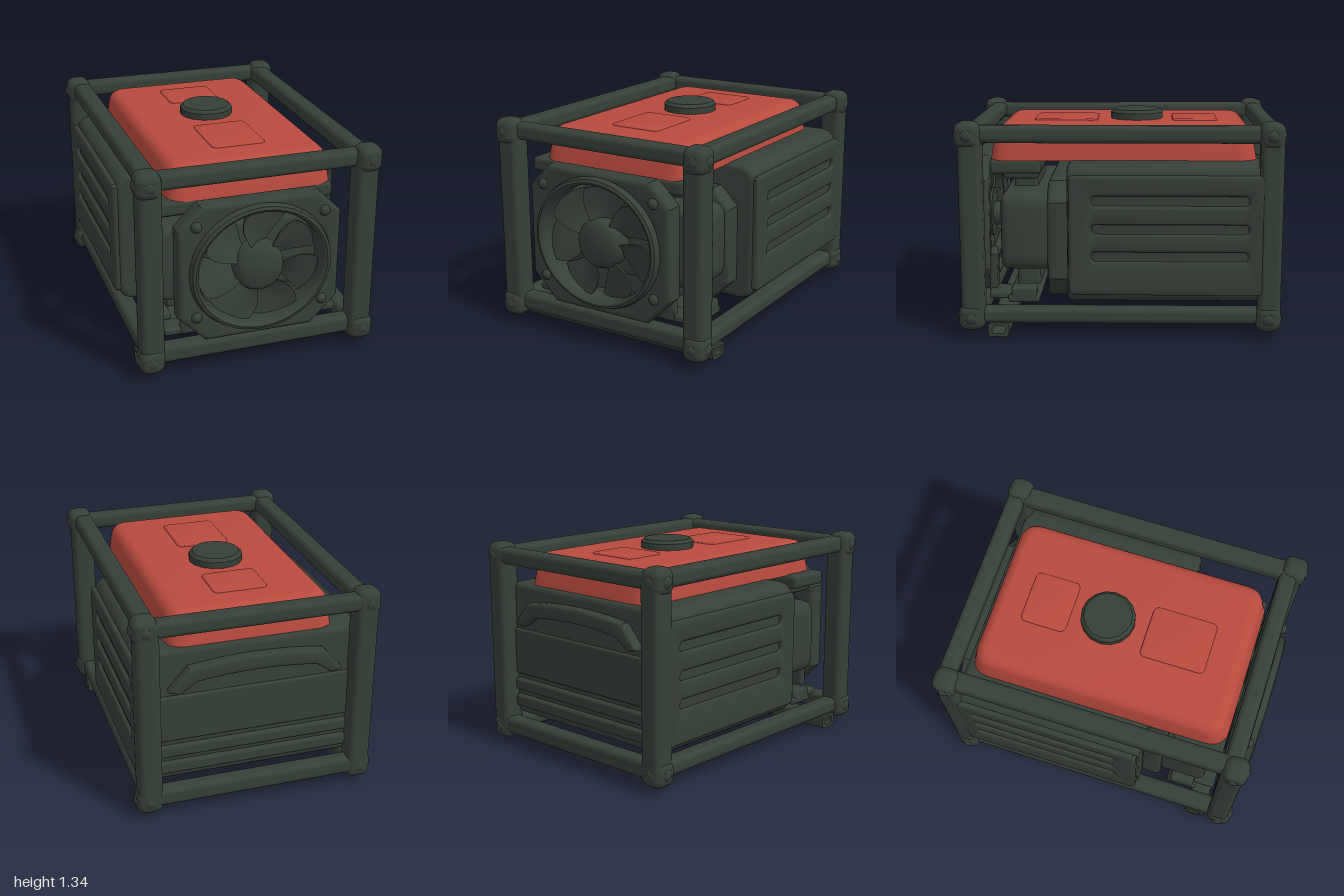
import * as THREE from 'three';
import { toCreasedNormals } from 'three/addons/utils/BufferGeometryUtils.js';
import { RoundedBoxGeometry } from 'three/addons/geometries/RoundedBoxGeometry.js';

const dark = new THREE.MeshStandardMaterial({ color: 0x363f38 });
dark.name = 'dark green metal';
const red = new THREE.MeshStandardMaterial({ color: 0xb84a3e });
red.name = 'red tank paint';

export function createModel() {
  const model = new THREE.Group();
  model.name = 'generator';

  const add = (name, geo, x = 0, y = 0, z = 0, mat = dark, parent = model) => {
    const mesh = new THREE.Mesh(geo, mat);
    mesh.name = name;
    mesh.position.set(x, y, z);
    parent.add(mesh);
    return mesh;
  };
  // Rounded box given by its min and max on each axis
  const block = (name, [x0, x1], [y0, y1], [z0, z1], r = 0.03, parent = model) =>
    add(name, new RoundedBoxGeometry(x1 - x0, y1 - y0, z1 - z0, 3, r),
      (x0 + x1) / 2, (y0 + y1) / 2, (z0 + z1) / 2, dark, parent);
  // Rectangle outline with chamfered or rounded corners
  const outline = (x0, x1, y0, y1, cTop, cBottom = cTop, round = false, target = new THREE.Shape()) => {
    const corner = (px, py, x, y) => (round ? target.quadraticCurveTo(px, py, x, y) : target.lineTo(x, y));
    target.moveTo(x0 + cBottom, y0);
    target.lineTo(x1 - cBottom, y0);
    corner(x1, y0, x1, y0 + cBottom);
    target.lineTo(x1, y1 - cTop);
    corner(x1, y1, x1 - cTop, y1);
    target.lineTo(x0 + cTop, y1);
    corner(x0, y1, x0, y1 - cTop);
    target.lineTo(x0, y0 + cBottom);
    corner(x0, y0, x0 + cBottom, y0);
    return target;
  };
  // Bevelled extrusion from z0 to z1
  const prism = (shape, z0, z1, bevel = 0.02, segments = 3) => {
    const geo = new THREE.ExtrudeGeometry(shape, {
      depth: z1 - z0 - 2 * bevel, bevelEnabled: bevel > 0, bevelThickness: bevel,
      bevelSize: bevel, bevelOffset: -bevel, bevelSegments: segments, curveSegments: 10,
    });
    return geo.translate(0, 0, z0 + bevel);
  };
  const smooth = (geo, angle = 0.6) => toCreasedNormals(geo, angle);

  // Tubular frame: posts, corner joints and rails
  const frame = new THREE.Group();
  frame.name = 'frame';
  model.add(frame);
  const joint = new RoundedBoxGeometry(0.155, 0.165, 0.155, 4, 0.055);
  const knob = new THREE.SphereGeometry(0.05, 16, 12);
  for (const s of [-1, 1]) {
    const sideX = s > 0 ? [0.6, 0.72] : [-0.72, -0.6];
    block('topSideRail', sideX, [1.2, 1.305], [-0.92, 0.9], 0.035, frame);
    block('bottomSideRail', sideX, [0.08, 0.18], [-0.92, 0.9], 0.035, frame);
    for (const f of [-1, 1]) {
      const zc = f > 0 ? 0.9 : -0.915;
      block('post', s > 0 ? [0.597, 0.743] : [-0.743, -0.597], [0.05, 1.31],
        [zc - 0.072, zc + 0.072], 0.04, frame);
      for (const y of [0.122, 1.25]) {
        add('cornerJoint', joint, s * 0.678, y, f * 0.912, dark, frame);
        add('jointBolt', knob, s * 0.72, y, f * 0.91, dark, frame);
        add('jointBolt', knob, s * 0.68, y, f * 0.95, dark, frame);
      }
    }
  }
  for (const [z0, z1] of [[0.83, 0.94], [-0.98, -0.87]]) {
    block('topCrossRail', [-0.67, 0.67], [1.2, 1.305], [z0, z1], 0.035, frame);
    block('bottomCrossRail', [-0.67, 0.67], [0.08, 0.195], [z0, z1], 0.035, frame);
  }

  // Hollow mounting bar under the front
  const bar = outline(-0.81, -0.68, 0, 0.09, 0.025, 0.025, true);
  bar.holes.push(outline(-0.785, -0.705, 0.02, 0.07, 0.015, 0.015, true, new THREE.Path()));
  add('mountingBar', smooth(prism(bar, -0.725, 0.725, 0).rotateY(Math.PI / 2)));

  // Main housing with slotted side panels
  add('housing', smooth(prism(outline(-0.715, 0.715, 0.21, 1.07, 0.11, 0.11, true), -0.88, 0.32, 0.03)));
  const slotPanel = outline(-0.31, 0.88, 0.27, 1.01, 0.02);
  for (const y of [0.51, 0.68, 0.855]) {
    slotPanel.holes.push(outline(-0.17, 0.78, y - 0.03, y + 0.03, 0.029, 0.029, true, new THREE.Path()));
  }
  const panel = smooth(prism(slotPanel, -0.03, 0.03, 0.02).rotateY(Math.PI / 2));
  for (const s of [-1, 1]) add('slottedPanel', panel, s * 0.71);

  // Back cover: arched visor and horizontal ribs
  const visor = new THREE.Shape();
  visor.moveTo(-0.54, 0.83);
  visor.lineTo(-0.42, 0.97);
  visor.quadraticCurveTo(0, 1.03, 0.42, 0.97);
  visor.lineTo(0.54, 0.83);
  visor.lineTo(0.47, 0.81);
  visor.lineTo(0.37, 0.88);
  visor.quadraticCurveTo(0, 0.93, -0.37, 0.88);
  visor.lineTo(-0.47, 0.81);
  add('backVisor', smooth(prism(visor, -0.95, -0.87, 0.02)));
  block('backPanel', [-0.6, 0.6], [0.48, 0.78], [-0.9, -0.86], 0.015);
  for (const y of [0.3, 0.41]) block('backRib', [-0.6, 0.6], [y - 0.04, y + 0.04], [-0.91, -0.86], 0.02);

  // Engine: stepped casing, supports and shaft
  add('engineFlange', smooth(prism(outline(-0.61, 0.61, 0.2, 0.94, 0.12, 0.14), 0.31, 0.45, 0.03)));
  add('engineBlock', smooth(prism(outline(-0.59, 0.59, 0.38, 0.87, 0.1, 0.1, true), 0.42, 0.74, 0.045)));
  block('upperNeck', [-0.3, 0.3], [0.84, 0.99], [0.53, 0.68], 0.03);
  block('lowerNeck', [-0.32, 0.32], [0.18, 0.42], [0.52, 0.67], 0.03);
  block('topPlate', [-0.6, 0.51], [0.98, 1.07], [0.49, 0.81], 0.025);
  block('topPlateRib', [-0.55, 0.46], [0.94, 1.0], [0.51, 0.73], 0.025);
  block('bottomPlate', [-0.6, 0.6], [0.18, 0.23], [0.5, 0.7], 0.02);
  block('engineFoot', [-0.45, 0.45], [0.18, 0.26], [0.24, 0.46], 0.03);
  for (const s of [-1, 1]) {
    add('bracket', smooth(prism(outline(-0.06, 0.06, 0.2, 0.5, 0.04, 0.01), 0.78, 0.83, 0.01)), s * 0.4);
    block('bracketFoot', s > 0 ? [0.36, 0.56] : [-0.56, -0.36], [0.195, 0.24], [0.68, 0.82], 0.015);
    block('footBlock', s > 0 ? [0.48, 0.6] : [-0.6, -0.48], [0.2, 0.28], [0.52, 0.68], 0.02);
    add('footBolt', new THREE.CylinderGeometry(0.035, 0.035, 0.04, 12), s * 0.35, 0.19, 0.37);
  }
  add('shaft', new THREE.CylinderGeometry(0.08, 0.08, 0.22, 20).rotateX(Math.PI / 2), 0, 0.63, 0.82);

  // Fan shroud with an oval opening and a raised collar
  const shroud = outline(-0.51, 0.51, 0.2, 1.08, 0.14, 0.17);
  const opening = new THREE.Path();
  opening.absellipse(0, 0.65, 0.41, 0.375, 0, Math.PI * 2, true);
  shroud.holes.push(opening);
  const shroudGeo = new THREE.ExtrudeGeometry(shroud, {
    depth: 0.07, bevelThickness: 0.03, bevelSize: 0.03, bevelOffset: -0.03, bevelSegments: 4, curveSegments: 40,
  });
  add('fanShroud', smooth(shroudGeo), 0, 0, 0.85);
  const collar = [[0.39, 0.84], [0.445, 0.84], [0.445, 0.965], [0.435, 0.99], [0.415, 0.998], [0.398, 0.985], [0.39, 0.95], [0.39, 0.84]];
  add('fanCollar', smooth(new THREE.LatheGeometry(collar.map((q) => new THREE.Vector2(...q)), 56)
    .rotateX(Math.PI / 2).scale(1, 0.92, 1), 0.8), 0, 0.65, 0);
  for (const x of [-0.4, 0.4]) {
    for (const y of [0.37, 0.96]) add('shroudBolt', new THREE.SphereGeometry(0.035, 12, 8), x, y, 0.945);
  }

  // Fan: hub and seven pitched blades that widen outwards
  const fan = new THREE.Group();
  fan.name = 'fan';
  fan.position.set(0, 0.64, 0.9);
  model.add(fan);
  const hub = [[0, -0.05], [0.16, -0.05], [0.157, 0.02], [0.14, 0.055], [0.11, 0.07], [0, 0.075]];
  add('fanHub', smooth(new THREE.LatheGeometry(hub.map((q) => new THREE.Vector2(...q)), 36)
    .rotateX(Math.PI / 2), 0.7), 0, 0, 0, dark, fan);
  const blade = new THREE.BoxGeometry(1, 1, 0.015, 8, 6, 1);
  const p = blade.attributes.position;
  for (let i = 0; i < p.count; i++) {
    const t = p.getX(i) + 0.5, v = p.getY(i);
    const half = 0.3 + 0.12 * Math.sin(Math.PI * t * 0.75);
    const r = 0.12 + 0.265 * t * (1 - 0.25 * v * v);
    const a = v * 2 * half - 0.15 * t * t;
    p.setXYZ(i, r * Math.cos(a), r * Math.sin(a), p.getZ(i) + v * 0.07);
  }
  blade.computeVertexNormals();
  const blades = new THREE.Group();
  blades.name = 'fanBlades';
  blades.scale.y = 0.93;
  fan.add(blades);
  for (let k = 0; k < 7; k++) {
    add('fanBlade', blade, 0, 0, 0, dark, blades).rotation.z = 1.6 + (k * Math.PI * 2) / 7;
  }

  // Fuel tank: tapering rounded slab with two shallow pads
  const tank = prism(outline(-0.52, 0.52, -0.81, 0.85, 0.13, 0.13, true), 0.97, 1.275, 0.07, 5).rotateX(-Math.PI / 2);
  const tp = tank.attributes.position;
  for (let i = 0; i < tp.count; i++) {
    const y = Math.max(tp.getY(i), 1.065), s = 1 - 0.22 * (y - 1.065);
    tp.setXYZ(i, tp.getX(i) * s, y, (tp.getZ(i) + 0.02) * s - 0.02);
  }
  tank.computeVertexNormals();
  add('fuelTank', smooth(tank), 0, 0, 0, red);
  for (const [z0, z1] of [[-0.62, -0.33], [0.15, 0.56]]) {
    const pad = outline(-0.17, 0.17, -z1, -z0, 0.04, 0.04, true);
    add('tankPad', smooth(prism(pad, 1.25, 1.285, 0.01).rotateX(-Math.PI / 2)), 0, 0, 0, red);
  }

  // Fuel cap
  const cap = [[0, 1.25], [0.15, 1.25], [0.17, 1.265], [0.17, 1.315], [0.15, 1.335], [0, 1.335]];
  add('fuelCap', smooth(new THREE.LatheGeometry(cap.map((q) => new THREE.Vector2(...q)), 16), 0.5), 0, 0, -0.1);

  return model;
}
